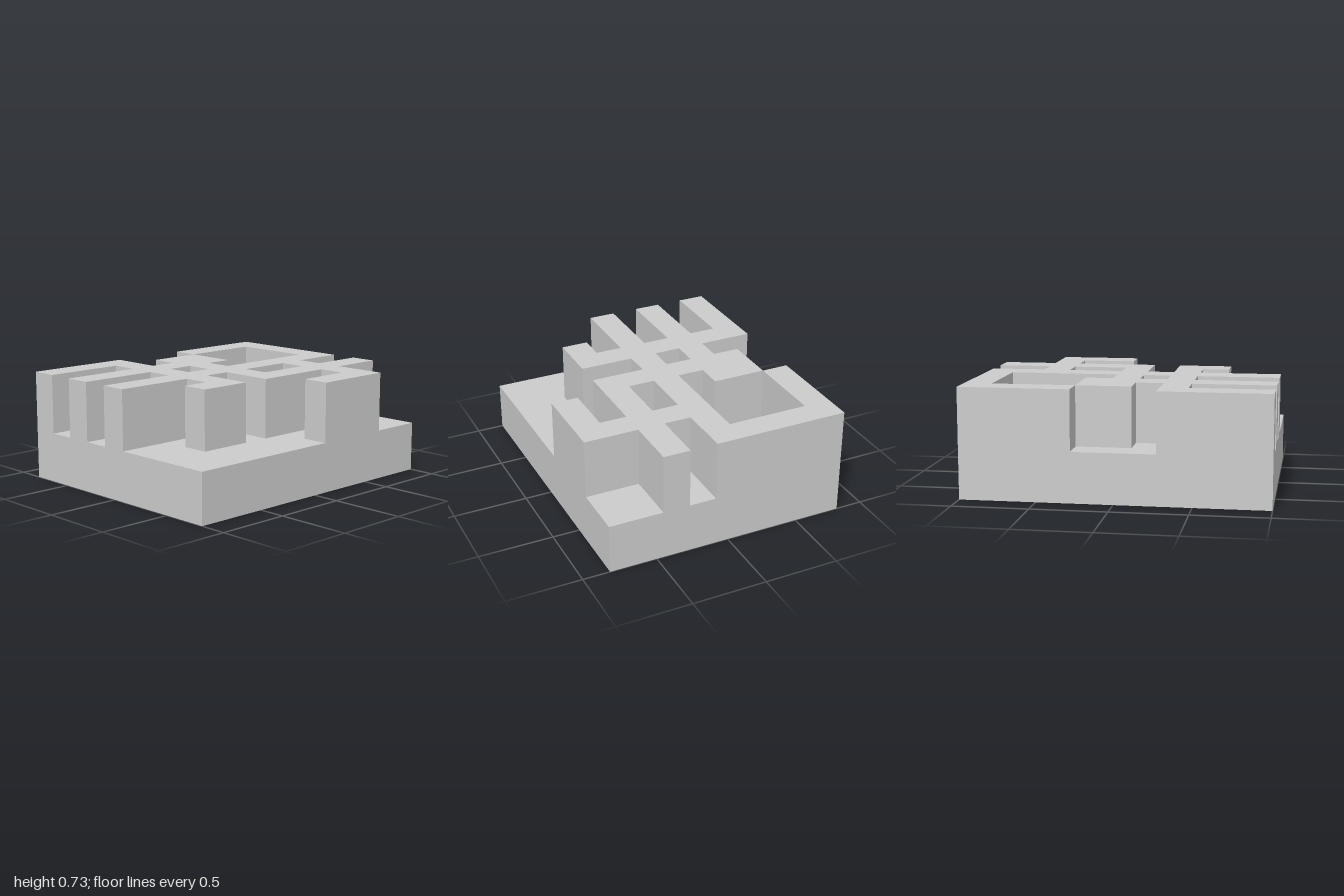
import * as THREE from 'three';
import { mergeGeometries } from 'three/addons/utils/BufferGeometryUtils.js';

// Plan seen from above, back row first: '#' raised wall, '.' sunken floor
const PLAN = [
  '#####.#..',
  '#...#.#..',
  '#...#####',
  '#...#.#.#',
  '.##.#.#.#',
  '.######..',
  '..#.#....',
  '#######..',
  '#.#.#.#..',
  '#.#.#....',
  '#.#.#....',
];
const ROWS = PLAN.length, COLS = PLAN[0].length;
const CELL = 2 / ROWS;
const FLOOR = 0.333, TOP = 0.73;

// Height of a cell; outside the plan it is the ground
function heightAt(r, c) {
  const cell = PLAN[r]?.[c];
  return cell === undefined ? 0 : cell === '#' ? TOP : FLOOR;
}

// Horizontal tile facing up
function tile(x, y, z) {
  return new THREE.PlaneGeometry(CELL, CELL).rotateX(-Math.PI / 2).translate(x, y, z);
}

// Upright panel on the side of a cell that faces (dx, dz)
function panel(x, z, dx, dz, low, high) {
  return new THREE.PlaneGeometry(CELL, high - low)
    .rotateY(Math.atan2(dx, dz))
    .translate(x + dx * CELL / 2, (low + high) / 2, z + dz * CELL / 2);
}

export function createModel() {
  const parts = { sunkenFloor: [], wallTops: [], wallSides: [], outerSides: [] };

  for (let r = 0; r < ROWS; r++) {
    for (let c = 0; c < COLS; c++) {
      const x = (c - (COLS - 1) / 2) * CELL;
      const z = (r - (ROWS - 1) / 2) * CELL;
      const h = heightAt(r, c);
      parts[h === TOP ? 'wallTops' : 'sunkenFloor'].push(tile(x, h, z));

      // Close each step down to a lower neighbour
      for (const [dx, dz] of [[1, 0], [-1, 0], [0, 1], [0, -1]]) {
        const low = heightAt(r + dz, c + dx);
        if (low < h) parts[low === 0 ? 'outerSides' : 'wallSides'].push(panel(x, z, dx, dz, low, h));
      }
    }
  }

  // Hollow shell, open underneath
  const material = new THREE.MeshStandardMaterial({
    color: 0xcccccc, flatShading: true, side: THREE.DoubleSide,
  });
  const model = new THREE.Group();
  model.name = 'mazeBlock';
  for (const [name, pieces] of Object.entries(parts)) {
    const mesh = new THREE.Mesh(mergeGeometries(pieces), material);
    mesh.name = name;
    model.add(mesh);
  }
  return model;
}
